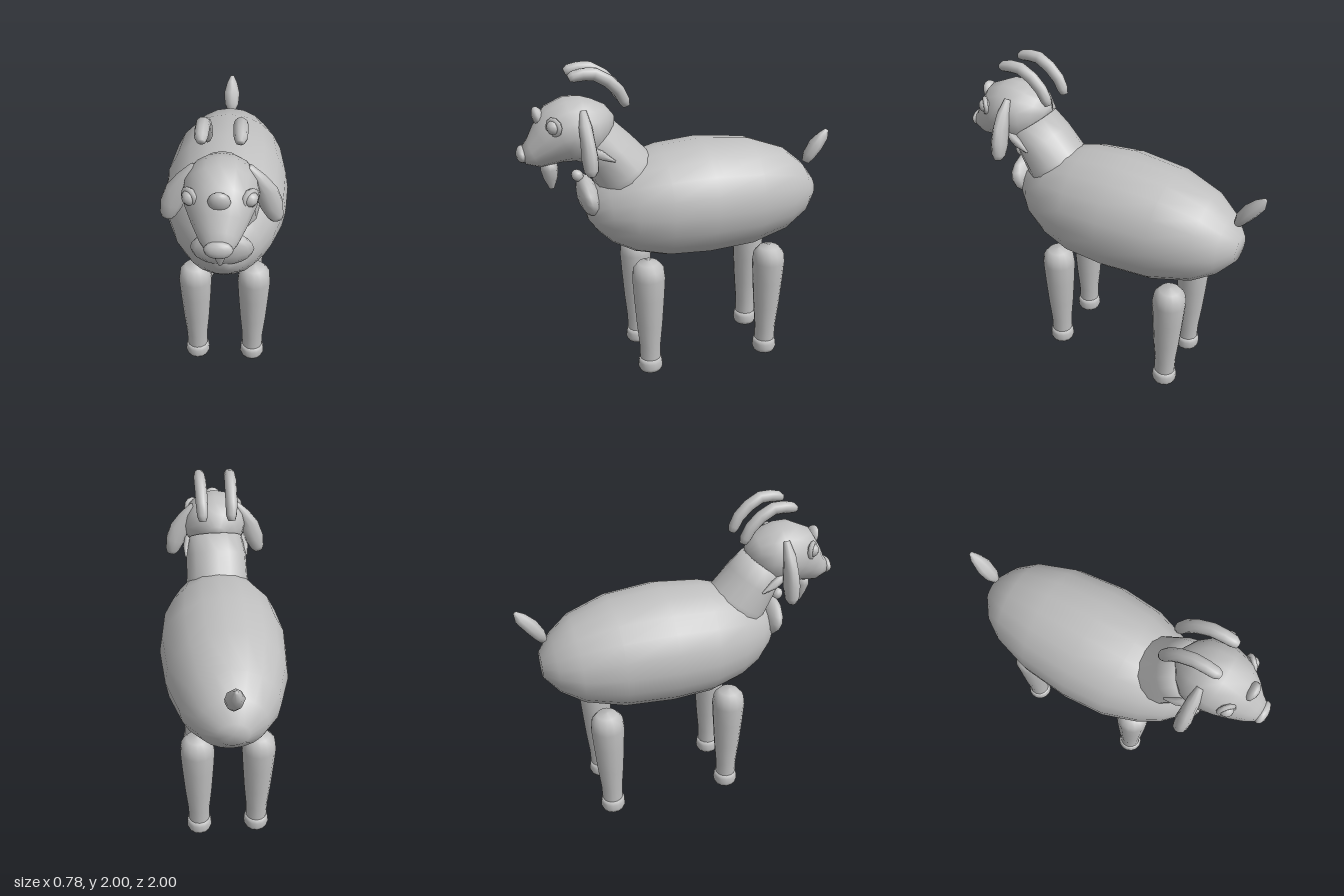
import * as THREE from 'three';

const X = new THREE.Vector3(1, 0, 0), Z = new THREE.Vector3(0, 0, 1);

// Closed loft: each ring is [x, y, z, radius along side, radius across it]
function loft(rings, side = X, seg = 14) {
  const centres = rings.map(r => new THREE.Vector3(r[0], r[1], r[2]));
  const pos = [], idx = [], n = rings.length;
  rings.forEach((r, i) => {
    const t = centres[Math.min(i + 1, n - 1)].clone().sub(centres[Math.max(i - 1, 0)]).normalize();
    const across = t.clone().cross(side).normalize();
    for (let j = 0; j < seg; j++) {
      const a = j / seg * Math.PI * 2;
      const p = centres[i].clone()
        .addScaledVector(side, Math.cos(a) * r[3])
        .addScaledVector(across, Math.sin(a) * r[4]);
      pos.push(p.x, p.y, p.z);
    }
  });
  for (let i = 0; i < n - 1; i++) {
    for (let j = 0; j < seg; j++) {
      const k = (j + 1) % seg, a = i * seg + j, b = i * seg + k;
      idx.push(a, b, a + seg, b, b + seg, a + seg);
    }
  }
  const first = n * seg, last = first + 1, top = (n - 1) * seg;
  pos.push(...centres[0].toArray(), ...centres[n - 1].toArray());
  for (let j = 0; j < seg; j++) {
    const k = (j + 1) % seg;
    idx.push(first, k, j, last, top + j, top + k);
  }
  const g = new THREE.BufferGeometry();
  g.setAttribute('position', new THREE.Float32BufferAttribute(pos, 3));
  g.setIndex(idx);
  g.computeVertexNormals();
  return g;
}

const lathe = pts => new THREE.LatheGeometry(pts.map(p => new THREE.Vector2(p[0], p[1])), 14);

export function createModel() {
  const model = new THREE.Group();
  const grey = new THREE.MeshStandardMaterial({ color: 0xc0c0c0 });
  grey.name = 'grey';
  const add = (name, geometry, parent = model) => {
    const m = new THREE.Mesh(geometry, grey);
    m.name = name;
    parent.add(m);
    return m;
  };
  const blob = (name, x, y, z, rx, ry, rz, tilt = 0) => {
    const m = add(name, new THREE.SphereGeometry(1, 12, 8));
    m.position.set(x, y, z);
    m.scale.set(rx, ry, rz);
    m.rotation.x = tilt;
    return m;
  };

  // Barrel body, tail end first
  add('body', loft([
    [0, 1.115, -0.885, 0.09, 0.075], [0, 1.115, -0.80, 0.2, 0.18],
    [0, 1.12, -0.67, 0.285, 0.275], [0, 1.13, -0.43, 0.36, 0.35],
    [0, 1.137, -0.12, 0.39, 0.373], [0, 1.13, 0.14, 0.37, 0.355],
    [0, 1.125, 0.34, 0.3, 0.305], [0, 1.12, 0.48, 0.22, 0.23],
    [0, 1.11, 0.57, 0.13, 0.14], [0, 1.1, 0.615, 0.05, 0.05],
  ], X, 20));

  add('neck', loft([
    [0, 1.2, 0.28, 0.22, 0.24], [0, 1.36, 0.38, 0.2, 0.19],
    [0, 1.48, 0.46, 0.195, 0.165], [0, 1.58, 0.53, 0.17, 0.14],
  ], X, 16));

  add('head', loft([
    [0, 1.64, 0.435, 0.06, 0.06], [0, 1.65, 0.47, 0.125, 0.115],
    [0, 1.64, 0.53, 0.18, 0.165], [0, 1.635, 0.60, 0.2, 0.19],
    [0, 1.63, 0.67, 0.2, 0.2], [0, 1.61, 0.74, 0.185, 0.185],
    [0, 1.555, 0.82, 0.145, 0.135], [0, 1.505, 0.90, 0.1, 0.09],
    [0, 1.5, 0.955, 0.065, 0.055],
  ], X, 16));

  blob('nose', 0, 1.505, 0.965, 0.075, 0.05, 0.035);
  blob('foreheadTuft', 0, 1.715, 0.855, 0.058, 0.065, 0.035, 0.3);

  add('beard', loft([
    [0, 1.45, 0.815, 0.05, 0.045], [0, 1.4, 0.815, 0.055, 0.052],
    [0, 1.34, 0.81, 0.035, 0.042], [0, 1.275, 0.808, 0.01, 0.015],
  ], X, 8));

  // Bell at the front of the neck, with its knob
  blob('bell', 0, 1.21, 0.595, 0.18, 0.125, 0.068, 0.2);
  blob('bellKnob', 0, 1.34, 0.652, 0.035, 0.04, 0.035, 0.6);

  add('tail', loft([
    [0, 1.28, -0.85, 0.025, 0.025], [0, 1.325, -0.872, 0.048, 0.04],
    [0, 1.39, -0.915, 0.055, 0.047], [0, 1.45, -0.965, 0.035, 0.038],
    [0, 1.49, -0.99, 0.012, 0.012],
  ], X, 8));

  for (const s of [1, -1]) {
    const label = s > 0 ? 'left' : 'right';

    // Curved horns, arching back above the head
    add(label + 'Horn', loft([
      [0.095, 1.945, 0.68, 0.022, 0.02], [0.097, 1.955, 0.655, 0.034, 0.032],
      [0.096, 1.964, 0.60, 0.037, 0.036], [0.095, 1.962, 0.535, 0.038, 0.038],
      [0.093, 1.92, 0.46, 0.038, 0.038], [0.092, 1.86, 0.40, 0.037, 0.037],
      [0.09, 1.8, 0.37, 0.034, 0.034], [0.09, 1.768, 0.358, 0.022, 0.022],
    ].map(r => [r[0] * s, ...r.slice(1)]), X, 10));

    // Drooping ears
    add(label + 'Ear', loft([
      [0.14, 1.765, 0.615, 0.02, 0.02], [0.195, 1.69, 0.615, 0.038, 0.04],
      [0.235, 1.61, 0.612, 0.042, 0.062], [0.265, 1.53, 0.61, 0.048, 0.063],
      [0.287, 1.46, 0.608, 0.042, 0.045], [0.295, 1.43, 0.608, 0.02, 0.03],
    ].map(r => [r[0] * s, ...r.slice(1)]), Z, 10));

    // Collar end showing behind the ear
    add(label + 'CollarTip', loft([
      [0.17 * s, 1.55, 0.6, 0.03, 0.025], [0.19 * s, 1.515, 0.53, 0.025, 0.028],
      [0.2 * s, 1.475, 0.455, 0.006, 0.006],
    ], X, 6));

    // Eyeball with a raised lid ring
    const eye = new THREE.Group();
    eye.name = label + 'Eye';
    eye.position.set(0.15 * s, 1.69, 0.785);
    eye.rotation.y = 0.75 * s;
    add('eyeball', new THREE.SphereGeometry(0.042, 10, 8), eye);
    add('eyelid', new THREE.TorusGeometry(0.042, 0.016, 6, 10), eye);
    model.add(eye);

    // Legs and hooves
    for (const z of [0.27, -0.54]) {
      const leg = new THREE.Group();
      leg.name = label + (z > 0 ? 'FrontLeg' : 'BackLeg');
      leg.position.set(0.187 * s, 0, z);
      add('shank', lathe([
        [0.068, 0.09], [0.07, 0.2], [0.085, 0.36], [0.098, 0.55],
        [0.106, 0.69], [0.098, 0.75], [0.065, 0.79], [0, 0.802],
      ]), leg);
      add('hoof', lathe([
        [0, 0], [0.074, 0.01], [0.082, 0.035], [0.078, 0.07], [0.071, 0.1], [0, 0.105],
      ]), leg);
      model.add(leg);
    }
  }
  return model;
}
